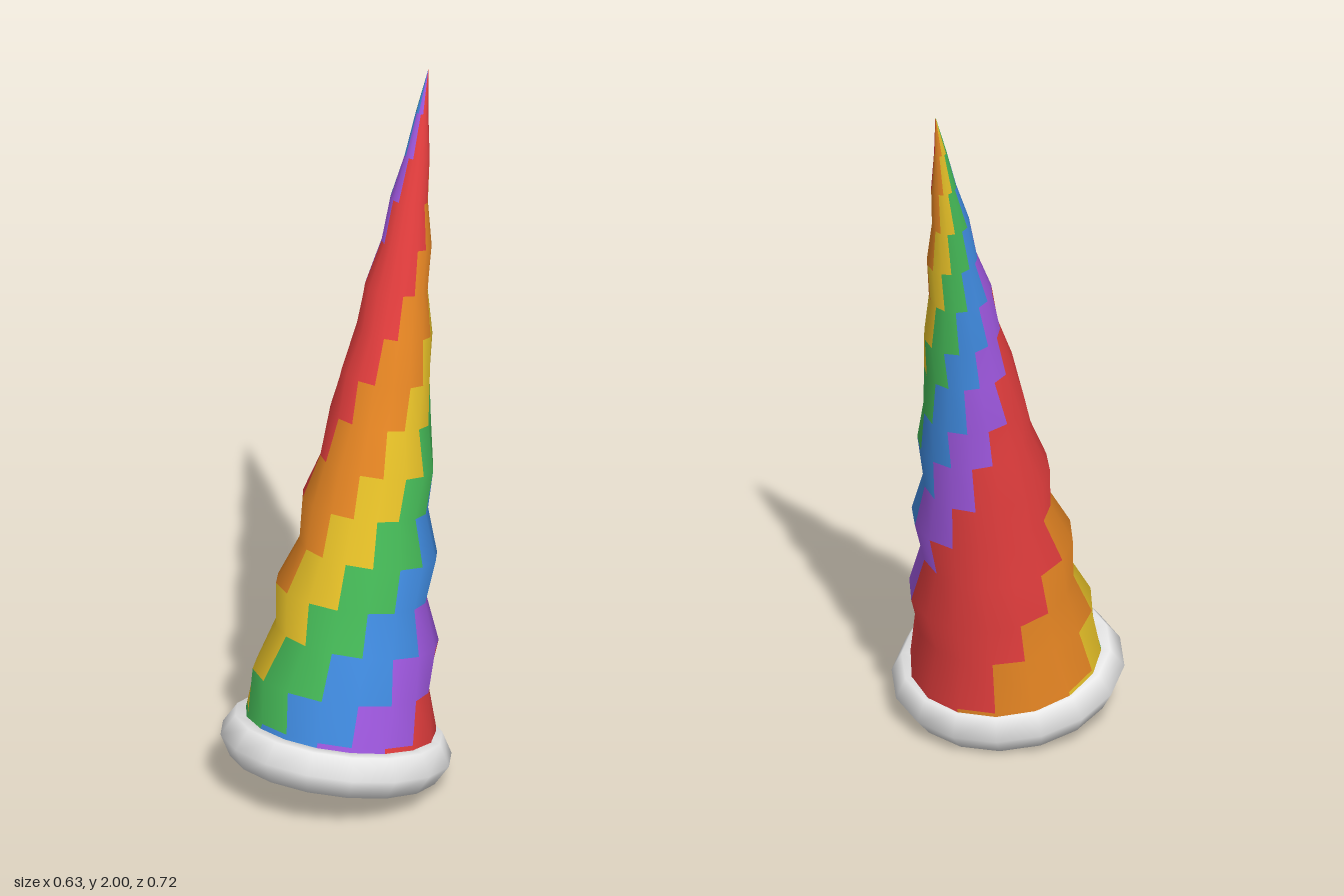
import * as THREE from 'three';

const SIDES = 16, ROWS = 16;
const BASE = -0.054, TIP = 1.929, RADIUS = 0.275;

const makeMaterial = (name, color) => {
  const m = new THREE.MeshStandardMaterial({ color });
  m.name = name;
  return m;
};

// Tapered horn: each row of colour cells is shifted one cell from the row below
function hornGeometry() {
  const pos = [];
  for (let k = 0; k <= ROWS; k++) {
    const t = k / ROWS;
    for (let j = 0; j < SIDES; j++) {
      const a = (j / SIDES) * Math.PI * 2;
      // a shallow ridge winds seven times up the horn
      const ridge = Math.cos(Math.PI * 14 * (k - 2) / ROWS - a);
      const swell = k === 0 ? 0.02 : 0.08;
      const r = RADIUS * (1 - t) * (1 + swell * ridge);
      pos.push(Math.sin(a) * r, BASE + (TIP - BASE) * t, Math.cos(a) * r);
    }
  }

  // colour number of each cell around one row, starting at the front
  const bands = [4, 4, 5, 5, 0, 0, 0, 0, 0, 1, 1, 1, 2, 2, 3, 3];
  const faces = [[], [], [], [], [], []];
  for (let k = 0; k < ROWS; k++) {
    for (let j = 0; j < SIDES; j++) {
      const n = (j + 1) % SIDES;
      const a = k * SIDES + j, b = k * SIDES + n;
      const c = b + SIDES, d = a + SIDES;
      const list = faces[bands[(j - k + 1 + SIDES) % SIDES]];
      list.push(a, b, d);
      if (k < ROWS - 1) list.push(b, c, d);
    }
  }

  const geo = new THREE.BufferGeometry();
  geo.setAttribute('position', new THREE.Float32BufferAttribute(pos, 3));
  geo.setIndex(faces.flat());
  let start = 0;
  faces.forEach((f, i) => {
    geo.addGroup(start, f.length, i);
    start += f.length;
  });
  geo.computeVertexNormals();
  return geo;
}

export function createModel() {
  const rainbow = [
    makeMaterial('red', 0xe53e3e),
    makeMaterial('orange', 0xea8824),
    makeMaterial('yellow', 0xe8c228),
    makeMaterial('green', 0x45b957),
    makeMaterial('blue', 0x408be0),
    makeMaterial('purple', 0x9f58e0),
  ];
  const white = makeMaterial('white', 0xf4f4f4);

  const model = new THREE.Group();
  model.name = 'stripedHorn';

  // everything leans back along one axis
  const lean = new THREE.Group();
  lean.name = 'leaningHorn';
  lean.position.set(0, 0.117, 0.05);
  lean.rotation.x = -0.213;
  model.add(lean);

  const add = (name, geo, mat) => {
    const mesh = new THREE.Mesh(geo, mat);
    mesh.name = name;
    lean.add(mesh);
  };

  add('horn', hornGeometry(), rainbow);

  // six-sided band around the foot
  add('baseRing', new THREE.TorusGeometry(0.251, 0.066, 6, 16).rotateX(Math.PI / 2), white);

  // closing disc inside the band, facing down
  add('baseCap', new THREE.CircleGeometry(0.23, 16).rotateX(Math.PI / 2).translate(0, -0.03, 0), white);

  return model;
}
